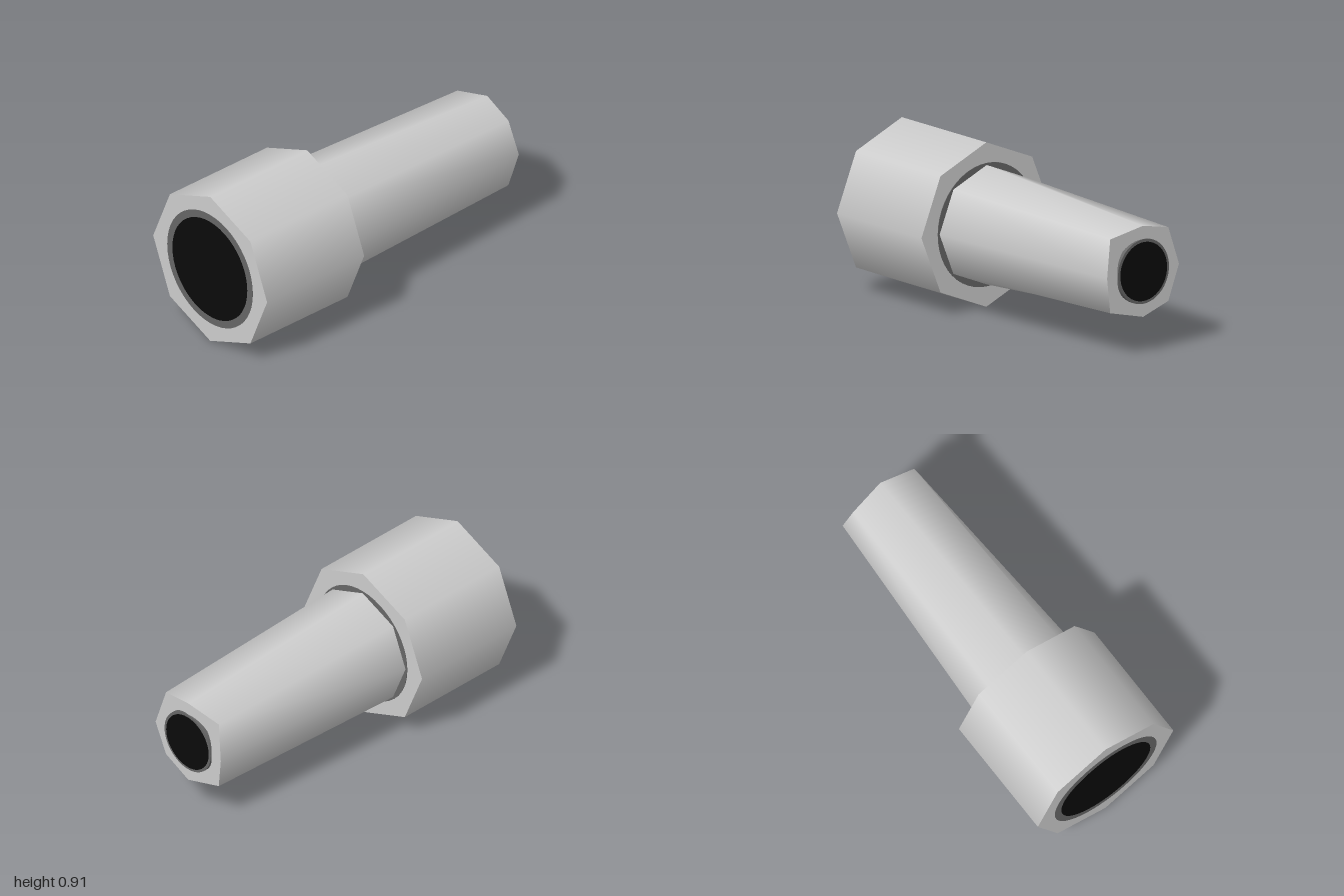
import * as THREE from 'three';

const AXIS_Y = 0.453;

// Cylinder lying along x, from x0 (radius r0) to x1 (radius r1)
function rod(x0, x1, r0, r1, sides) {
  const g = new THREE.CylinderGeometry(r1, r0, x1 - x0, sides);
  g.rotateZ(-Math.PI / 2);
  g.translate((x0 + x1) / 2, 0, 0);
  return g;
}

export function createModel() {
  const mat = (name, color) => {
    const m = new THREE.MeshStandardMaterial({ color });
    m.name = name;
    return m;
  };
  const shell = mat('light grey', 0xcccccc);
  const rim = mat('dark grey', 0x666666);
  const dark = mat('black', 0x0a0a0a);

  const group = new THREE.Group();
  group.name = 'nozzle';
  const add = (name, geometry, material) => {
    const mesh = new THREE.Mesh(geometry, material);
    mesh.name = name;
    mesh.position.y = AXIS_Y;
    group.add(mesh);
  };

  // Octagonal housing
  add('housing', rod(-0.997, -0.3, 0.453, 0.453, 8), shell);

  // Tapered octagonal barrel: diagonal corners of the tip are wider and set back
  const barrel = rod(-0.3, 0.993, 0.329, 0.251, 8);
  const p = barrel.attributes.position;
  for (let i = 0; i < p.count; i++) {
    const y = p.getY(i), z = p.getZ(i);
    if (p.getX(i) > 0.9 && Math.abs(y) > 0.1 && Math.abs(z) > 0.1) {
      p.setXYZ(i, 0.962, Math.sign(y) * 0.203, Math.sign(z) * 0.203);
    }
  }
  add('barrel', barrel, shell);

  // Round collar where the barrel leaves the housing
  add('collar', rod(-0.31, -0.297, 0.34, 0.34, 48), rim);

  // Openings at both ends
  add('muzzleRim', rod(0.95, 0.997, 0.178, 0.178, 48), rim);
  add('muzzleBore', rod(0.95, 1.0, 0.162, 0.162, 48), dark);
  add('rearRim', rod(-0.9985, -0.99, 0.34, 0.34, 48), rim);
  add('rearBore', rod(-1.0, -0.99, 0.297, 0.297, 48), dark);

  return group;
}
